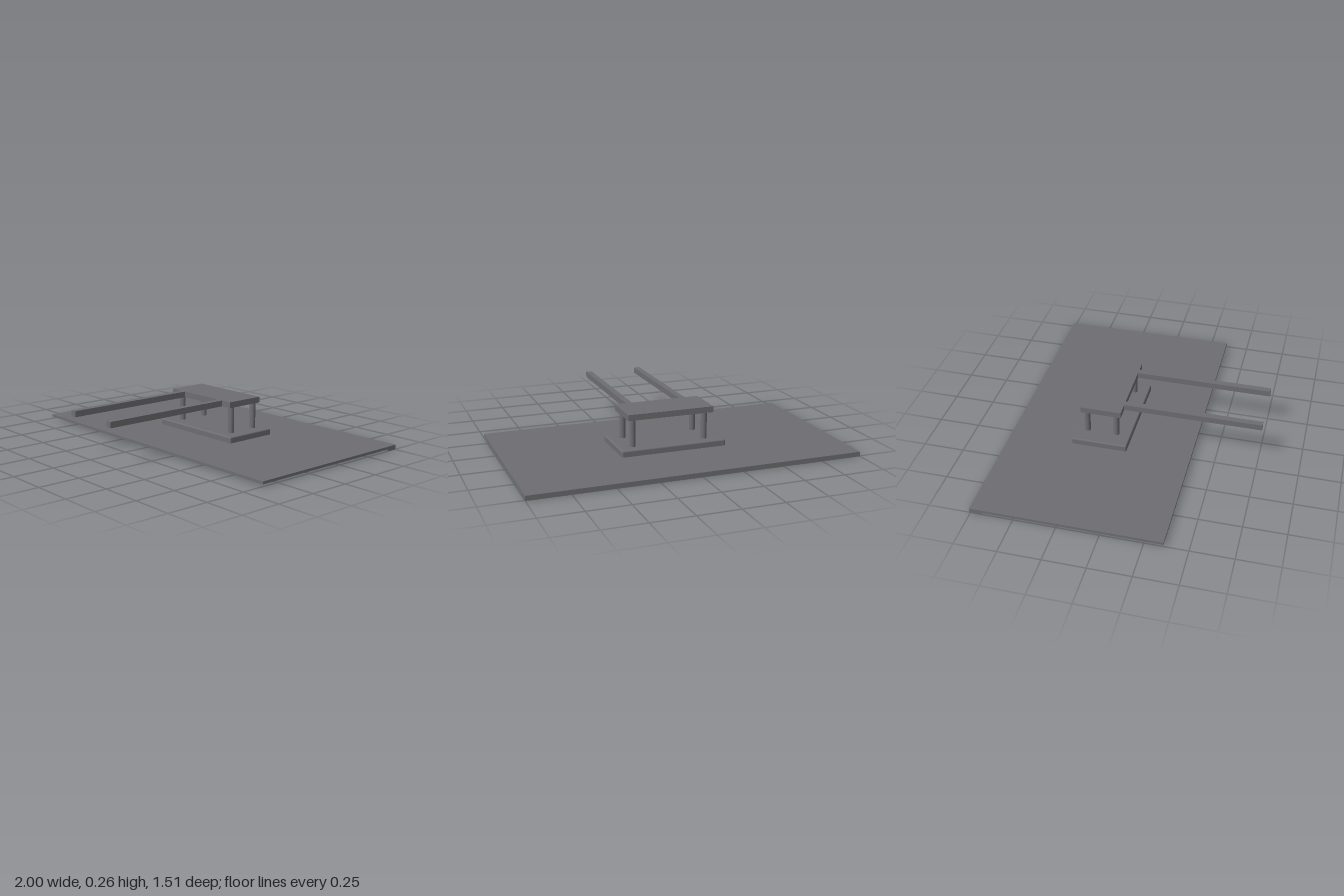
import * as THREE from 'three';
import { RoundedBoxGeometry } from 'three/addons/geometries/RoundedBoxGeometry.js';

export function createModel() {
  const model = new THREE.Group();
  const material = new THREE.MeshStandardMaterial({ color: 0x6e6d72 });

  const add = (name, geometry, x, y, z) => {
    const mesh = new THREE.Mesh(geometry, material);
    mesh.name = name;
    mesh.position.set(x, y, z);
    model.add(mesh);
  };
  // Box given by its limits on each axis
  const box = (name, [x0, x1], [y0, y1], [z0, z1], radius = 0) => {
    const size = [x1 - x0, y1 - y0, z1 - z0];
    const geometry = radius ? new RoundedBoxGeometry(...size, 3, radius) : new THREE.BoxGeometry(...size);
    add(name, geometry, (x0 + x1) / 2, (y0 + y1) / 2, (z0 + z1) / 2);
  };

  // Thin wide sheet with a lip under its back edge
  box('sheet', [-1, 1], [0.012, 0.028], [-0.757, 0.36]);
  box('backLip', [-1, 1], [0, 0.012], [-0.757, -0.685]);

  // Base block with softened edges, seated in the sheet
  box('base', [-0.31, 0.341], [0.018, 0.066], [-0.37, -0.028], 0.009);

  // Four round posts
  for (const x of [-0.199, 0.252]) {
    for (const z of [-0.116, -0.297]) {
      add('post', new THREE.CylinderGeometry(0.018, 0.018, 0.168, 32), x, 0.147, z);
    }
  }

  // Upper plate with two long rails reaching forward
  const rise = [0.228, 0.264];
  box('upperPlate', [-0.25, 0.285], rise, [-0.322, -0.075]);
  for (const x of [-0.147, 0.196]) {
    box('rail', [x - 0.019, x + 0.019], rise, [-0.075, 0.757]);
  }

  return model;
}
